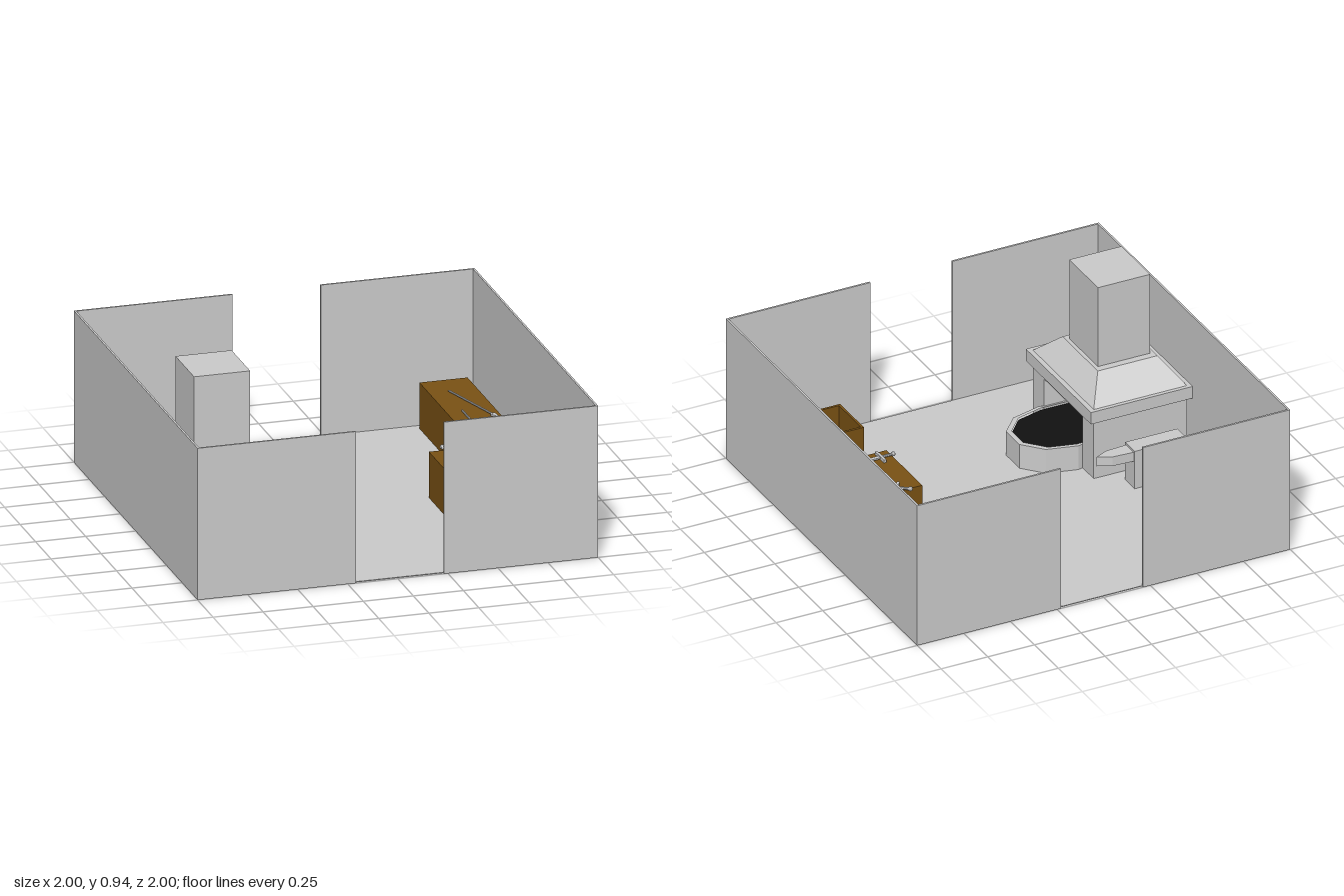
import * as THREE from 'three';

const mat = (color) => new THREE.MeshStandardMaterial({ color, flatShading: true });
const GREY = mat(0xcccccc), WOOD = mat(0x7a5214), WATER = mat(0x1111ff), COAL = mat(0x111111);

function add(parent, name, geo, material = GREY) {
  const mesh = new THREE.Mesh(geo, material);
  mesh.name = name;
  parent.add(mesh);
  return mesh;
}

function group(parent, name) {
  const g = new THREE.Group();
  g.name = name;
  parent.add(g);
  return g;
}

// Box given by its limits; the top can be drawn in by insetX and insetZ
function box(x0, x1, y0, y1, z0, z1, insetX = 0, insetZ = 0) {
  const geo = new THREE.BoxGeometry(x1 - x0, y1 - y0, z1 - z0);
  const p = geo.attributes.position;
  for (let i = 0; i < p.count; i++) {
    if (p.getY(i) < 0) continue;
    p.setX(i, p.getX(i) - Math.sign(p.getX(i)) * insetX);
    p.setZ(i, p.getZ(i) - Math.sign(p.getZ(i)) * insetZ);
  }
  geo.translate((x0 + x1) / 2, (y0 + y1) / 2, (z0 + z1) / 2);
  geo.computeVertexNormals();
  return geo;
}

// Upright prism from an [x, z] outline, with an optional hole
function prism(outline, y0, y1, hole) {
  const toVec = (pts) => pts.map(([x, z]) => new THREE.Vector2(x, -z));
  const shape = new THREE.Shape(toVec(outline));
  if (hole) shape.holes.push(new THREE.Path(toVec(hole)));
  const geo = new THREE.ExtrudeGeometry(shape, { depth: y1 - y0, bevelEnabled: false });
  return geo.rotateX(-Math.PI / 2).translate(0, y0, 0);
}

// Open wooden container: four sides and a bottom
function openBox(parent, name, x0, x1, z0, z1, h, t) {
  const g = group(parent, name);
  add(g, 'bottom', box(x0, x1, 0, 0.02, z0, z1), WOOD);
  add(g, 'leftSide', box(x1 - t, x1, 0, h, z0, z1), WOOD);
  add(g, 'rightSide', box(x0, x0 + t, 0, h, z0, z1), WOOD);
  add(g, 'frontSide', box(x0 + t, x1 - t, 0, h, z1 - t, z1), WOOD);
  add(g, 'backSide', box(x0 + t, x1 - t, 0, h, z0, z0 + t), WOOD);
  return g;
}

// Place an item modelled along +x so that it runs from one [x, z] point to another
function lay(g, y, from, to) {
  g.position.set(from[0], y, from[1]);
  g.rotation.y = Math.atan2(from[1] - to[1], to[0] - from[0]);
  return Math.hypot(to[0] - from[0], to[1] - from[1]);
}

function sword(parent, y, from, to) {
  const g = group(parent, 'sword');
  const L = lay(g, y, from, to);
  add(g, 'pommel', new THREE.SphereGeometry(0.012, 8, 6).translate(0.01, 0.01, 0));
  add(g, 'grip', new THREE.CylinderGeometry(0.007, 0.007, 0.07, 8).rotateZ(Math.PI / 2).translate(0.045, 0.01, 0));
  add(g, 'guard', box(0.07, 0.083, 0.002, 0.018, -0.045, 0.045));
  add(g, 'blade', prism([[0.08, 0.01], [L - 0.03, 0.007], [L, 0], [L - 0.03, -0.007], [0.08, -0.01]], 0.006, 0.014));
}

function spear(parent, y, from, to) {
  const g = group(parent, 'spear');
  const L = lay(g, y, from, to);
  add(g, 'shaft', new THREE.CylinderGeometry(0.005, 0.005, L - 0.06, 8).rotateZ(-Math.PI / 2).translate((L - 0.06) / 2, 0.008, 0));
  add(g, 'spearhead', prism([[L - 0.075, 0.004], [L - 0.06, 0.014], [L, 0], [L - 0.06, -0.014], [L - 0.075, -0.004]], 0.004, 0.012));
}

export function createModel() {
  const model = new THREE.Group();
  model.name = 'smithy';

  // Room with matching doorways in the front and back walls
  const room = group(model, 'room');
  const H = 0.77, T = 0.01;
  add(room, 'floor', box(-0.99, 0.99, 0, 0.004, -0.99, 0.99));
  for (const s of [-1, 1]) {
    add(room, s > 0 ? 'leftWall' : 'rightWall', box(s - (s > 0 ? T : 0), s + (s > 0 ? 0 : T), 0, H, -1, 1));
    const z0 = s > 0 ? 1 - T : -1, z1 = z0 + T;
    const name = s > 0 ? 'frontWall' : 'backWall';
    add(room, name, box(-1 + T, -0.21, 0, H, z0, z1));
    add(room, name, box(0.23, 1 - T, 0, H, z0, z1));
  }

  // Forge: side walls, mantel, tapered hood and chimney
  const forge = group(model, 'forge');
  add(forge, 'pillar', box(-0.97, -0.47, 0, 0.32, 0.02, 0.135));
  add(forge, 'pillar', box(-0.97, -0.47, 0, 0.32, 0.54, 0.655));
  add(forge, 'lintel', box(-0.97, -0.47, 0.285, 0.32, 0.135, 0.54));
  add(forge, 'mantel', box(-0.995, -0.445, 0.32, 0.385, 0, 0.68));
  add(forge, 'hood', box(-0.97, -0.47, 0.385, 0.505, 0.02, 0.655, 0.09, 0.133));
  add(forge, 'chimney', box(-0.86, -0.58, 0.5, 0.94, 0.19, 0.49));

  // Rounded fire bowl running back between the pillars
  const rim = [[-0.96, 0.136], [-0.47, 0.136], [-0.445, 0.13], [-0.29, 0.17], [-0.2, 0.27]];
  const inner = [[-0.94, 0.155], [-0.445, 0.15], [-0.31, 0.185], [-0.225, 0.28]];
  const mirrored = (pts) => [...pts, ...pts.map(([x, z]) => [x, 0.68 - z]).reverse()];
  add(forge, 'fireBowl', prism(mirrored(rim), 0, 0.135, mirrored(inner)));
  add(forge, 'coals', prism(mirrored(inner), 0.005, 0.125), COAL);

  // Anvil
  const anvil = group(model, 'anvil');
  add(anvil, 'anvilBody', box(-0.88, -0.6, 0, 0.21, -0.155, -0.055));
  add(anvil, 'horn', prism([[-0.6, -0.145], [-0.49, -0.138], [-0.42, -0.105], [-0.49, -0.072], [-0.6, -0.065]], 0.15, 0.2));

  // Quenching trough and crate
  const trough = openBox(model, 'trough', -0.95, -0.365, -0.925, -0.75, 0.115, 0.016);
  add(trough, 'water', box(-0.934, -0.381, 0.02, 0.07, -0.909, -0.766), WATER);
  openBox(model, 'crate', 0.49, 0.735, 0.55, 0.8, 0.268, 0.012);

  // L-shaped workbench
  const top = 0.237;
  const bench = group(model, 'workbench');
  add(bench, 'benchTop', prism([[0.71, -0.95], [0.95, -0.95], [0.95, 0.355], [0.47, 0.355], [0.47, -0.02], [0.71, -0.02]], 0, top), WOOD);

  // Weapons on the bench
  const goods = group(model, 'benchGoods');
  spear(goods, top, [0.805, -0.78], [0.925, -0.35]);
  spear(goods, top, [0.785, -0.5], [0.785, -0.045]);
  sword(goods, top, [0.535, -0.045], [0.88, 0.215]);
  sword(goods, top, [0.455, 0.295], [0.9, 0.288]);

  // Metal ingots: a stack and two loose ones
  const ingot = () => box(-0.036, 0.036, 0, 0.025, -0.016, 0.016, 0.006, 0.005);
  for (let row = 0; row < 3; row++) {
    for (let i = 0; i < 4 - row; i++) {
      add(goods, 'ingot', ingot()).position.set(0.905, top + row * 0.025, 0.008 + (i + row / 2) * 0.033);
    }
  }
  for (const [x, z, turn] of [[0.9, -0.185, 0.95], [0.775, 0.058, -0.65]]) {
    const loose = add(goods, 'ingot', ingot());
    loose.position.set(x, top, z);
    loose.rotation.y = turn;
  }
  return model;
}
